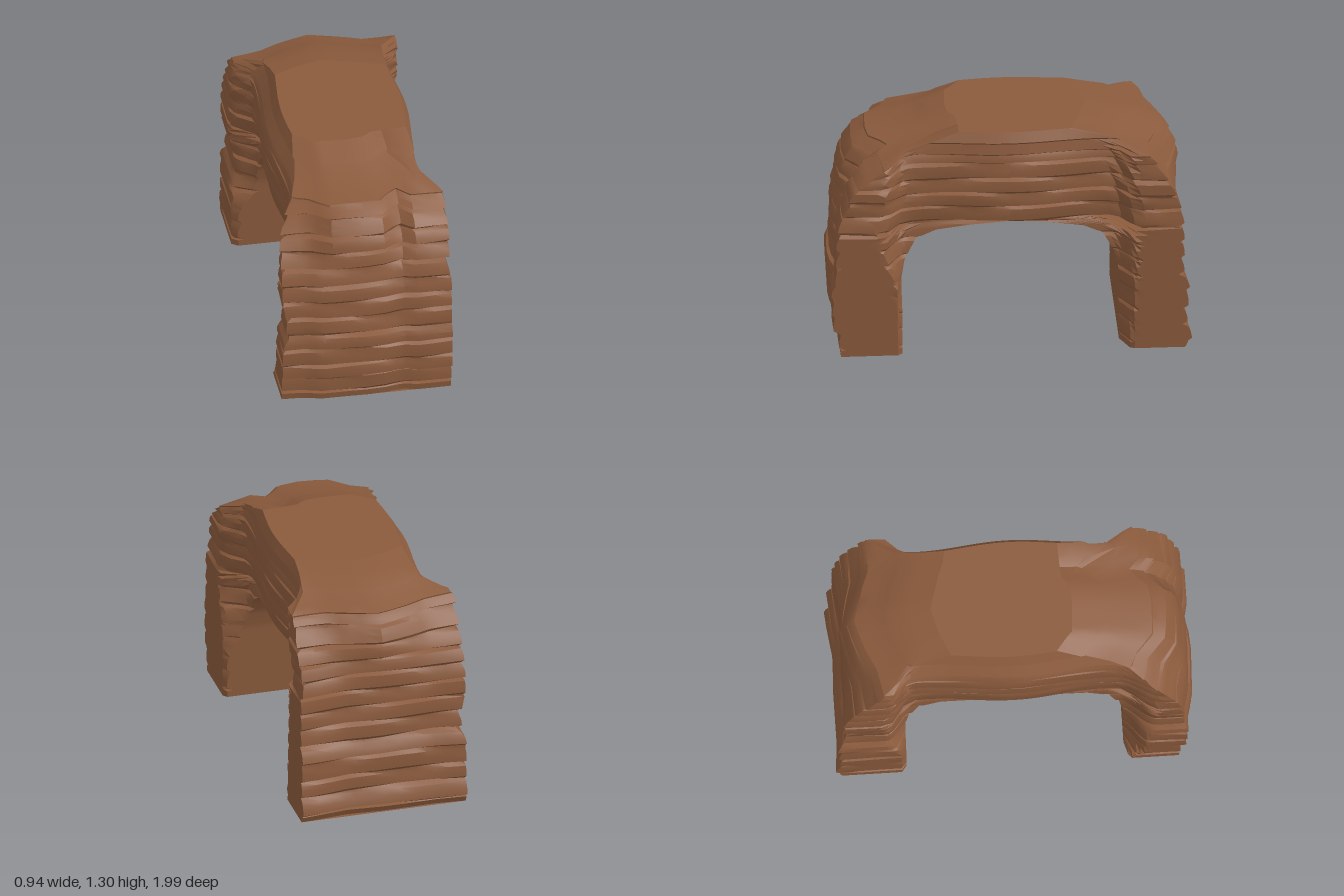
import * as THREE from 'three';
import { toCreasedNormals } from 'three/addons/utils/BufferGeometryUtils.js';

// Piecewise-linear lookup in a list of [position, value]
function lookup(list, p) {
  if (p <= list[0][0]) return list[0][1];
  for (let i = 1; i < list.length; i++) {
    const [p0, v0] = list[i - 1], [p1, v1] = list[i];
    if (p <= p1) return v0 + (v1 - v0) * (p - p0) / (p1 - p0);
  }
  return list[list.length - 1][1];
}
const { lerp, smoothstep } = THREE.MathUtils;

// Opening: depth of its wall by height
const OPENING = [[0, .6], [.42, .6], [.52, .58], [.62, .53], [.66, .49], [.69, .43], [.72, .28], [.735, .1], [.74, 0]];

// Ends: outer reach by height, and surface creases across x, low down and near the top
const FRONT = {
  reach: [[0, .95], [.13, .96], [.16, .985], [.42, 1], [.46, .975], [.7, .97], [.85, .95], [1, .93], [1.04, .91], [1.13, .86], [1.18, .78], [1.2, .66], [1.235, .52], [1.25, .48], [1.3, .34]],
  low: [[-.47, -.045], [-.36, -.04], [-.25, -.01], [0, 0], [.1, -.005], [.2, -.025], [.28, -.005], [.47, -.005]],
  high: [[-.47, -.15], [-.3, -.12], [-.18, -.01], [0, 0], [.1, -.01], [.2, -.12], [.28, -.05], [.47, -.08]],
  drop: .06,
};
const BACK = {
  reach: [[0, .97], [.07, 1], [.17, .97], [.38, .985], [.45, .955], [.8, .955], [1, .955], [1.05, .935], [1.13, .9], [1.18, .86], [1.2, .8], [1.235, .7], [1.25, .67], [1.3, .44]],
  low: [[-.47, -.005], [-.3, -.02], [0, -.02], [.2, -.03], [.35, -.01], [.47, 0]],
  high: [[-.47, -.14], [-.3, -.11], [-.15, -.04], [0, 0], [.2, -.06], [.3, -.1], [.47, -.09]],
  drop: 0,
};

// Sides: half widths of bridge and legs by height
const POSITIVE_X = {
  bridge: [[.4, .345], [.75, .345], [.88, .37], [1.1, .385], [1.18, .38], [1.235, .365], [1.246, .375], [1.3, .345]],
  leg: [[0, .51], [.72, .51], [.76, .46], [.85, .46], [.95, .48], [1.18, .475], [1.2, .43], [1.235, .39]],
};
const NEGATIVE_X = {
  bridge: [[.4, .345], [.75, .345], [.88, .375], [1.1, .385], [1.18, .365], [1.235, .32], [1.246, .325], [1.3, .29]],
  leg: [[0, .49], [.38, .48], [.42, .45], [.58, .45], [.62, .48], [1, .47], [1.17, .47], [1.2, .41], [1.235, .38]],
};
// Where each leg reaches full width, by height
const SHOULDERS = {
  frontPositive: [[.25, .615], [.45, .655], [.6, .75], [1.1, .7]],
  frontNegative: [[0, .64], [.1, .74], [.6, .79], [1.1, .86]],
  backPositive: [[0, .69], [.6, .74], [1.1, .68]],
  backNegative: [[.25, .615], [.4, .7], [.7, .72], [1.1, .68]],
};

// Rock strata: each starts with an overhanging lip and recedes upwards
const BEDS = [0, .04, .15, .24, .35, .44, .54, .64, .74, .84, .93, 1.02, 1.12, 1.18];
const LEVELS = [];
for (let i = 0; i < BEDS.length - 1; i++) {
  [[0, 1], [.18, 0], [.55, .12], [.85, .45]].forEach(([f, inset]) =>
    LEVELS.push({ y: lerp(BEDS[i], BEDS[i + 1], f), inset: i ? inset : .3, bed: i }));
}
// Smooth crown with one raised slab
[1.18, 1.2, 1.235, 1.246, 1.275, 1.3].forEach(y => LEVELS.push({ y, inset: 0, bed: 20 }));

const SIDE = 15; // points along each side wall
const ACROSS = [-.78, -.64, -.53, -.4, -.2, 0, .22, .34, .45, .6, .8];

// Half outline at one level, from the arch middle round one end and back
function halfRing({ y, inset, bed }, dir) {
  const end = dir > 0 ? FRONT : BACK;
  const inner = lookup(OPENING, y), outer = lookup(end.reach, y);
  const fade = smoothstep(y, 0, .1) * (1 - smoothstep(y, 1.1, 1.18));
  const high = smoothstep(y, .75, 1.15);

  // Lip depth varies gently along each bed
  const rough = p => .75 + .3 * Math.sin(p * 8 + bed * 2.4);
  const halfWidth = (z, sign) => {
    const flank = sign > 0 ? POSITIVE_X : NEGATIVE_X;
    const full = lookup(SHOULDERS[(dir > 0 ? 'front' : 'back') + (sign > 0 ? 'Positive' : 'Negative')], y);
    const waist = lookup(flank.bridge, y) + .018 * Math.cos(z * 6.5);
    const width = lerp(waist, lookup(flank.leg, y), smoothstep(z, .575, full));
    return Math.min(.47, width - inset * .034 * rough(z * dir * sign));
  };
  const endZ = x => outer + lerp(lookup(end.low, x), lookup(end.high, x), high) - inset * .036 * rough(x + dir);
  const warp = (x, z, t) => fade * Math.min(1, t * 2) *
    (.004 * Math.sin(x * 8 + bed * .8) + .006 * Math.sin(z * 9 * dir + bed * .6));
  // Corners of the top sag below the middle
  const sag = (x, z) => end.drop * smoothstep(y, .95, 1.15) * smoothstep(z, .5, .8) * (x / .47) ** 2;

  const ring = [];
  const put = (x, z, t) => ring.push(new THREE.Vector3(x, y + warp(x, z, t) - sag(x, z), z * dir));
  const side = (sign, i) => {
    const t = i / (SIDE - 1);
    const z = lerp(inner, endZ(sign * halfWidth(outer, sign)), t);
    put(sign * halfWidth(z, sign), z, t);
  };
  for (let i = 0; i < SIDE; i++) side(1, i);
  for (let i = ACROSS.length - 1; i >= 0; i--) {
    const x = ACROSS[i] * halfWidth(outer, Math.sign(ACROSS[i]) || 1);
    put(x, endZ(x), 1);
  }
  for (let i = SIDE - 1; i >= 0; i--) side(-1, i);
  return ring;
}

function rockMesh(name, quads, material, crease) {
  const points = [];
  for (const [a, b, c, d] of quads) points.push(a, b, c, a, c, d);
  const geometry = new THREE.BufferGeometry().setFromPoints(points);
  const mesh = new THREE.Mesh(toCreasedNormals(geometry, crease), material);
  mesh.name = name;
  return mesh;
}

export function createModel() {
  const model = new THREE.Group();
  model.name = 'rockArch';
  const sandstone = new THREE.MeshStandardMaterial({ color: 0x8a5a3c });
  sandstone.name = 'sandstone';

  for (const dir of [1, -1]) {
    const half = dir > 0 ? 'front' : 'back';
    const rings = LEVELS.map(level => halfRing(level, dir));
    const n = rings[0].length;
    const strata = [], underside = [], top = [], base = [];
    const add = (list, a, b, c, d) => list.push(dir > 0 ? [a, b, c, d] : [d, c, b, a]);

    for (let j = 0; j < rings.length - 1; j++) {
      const low = rings[j], up = rings[j + 1];
      // Layered outer wall
      for (let k = 0; k < n - 1; k++) add(strata, low[k], up[k], up[k + 1], low[k + 1]);
      // Smooth inside of the opening
      if (LEVELS[j].y < .739) add(underside, low[0], low[n - 1], up[n - 1], up[0]);
    }
    // Crown and foot, bridged from side to side
    const crown = rings[rings.length - 1], foot = rings[0];
    for (let k = 0; k < n / 2 - 1; k++) {
      const m = n - 1 - k;
      add(top, crown[k], crown[m], crown[m - 1], crown[k + 1]);
      add(base, foot[k], foot[k + 1], foot[m - 1], foot[m]);
    }
    model.add(
      rockMesh(half + 'Strata', strata, sandstone, .45),
      rockMesh(half + 'Underside', underside, sandstone, .9),
      rockMesh(half + 'Crown', top, sandstone, .4),
      rockMesh(half + 'Foot', base, sandstone, .4)
    );
  }
  return model;
}
